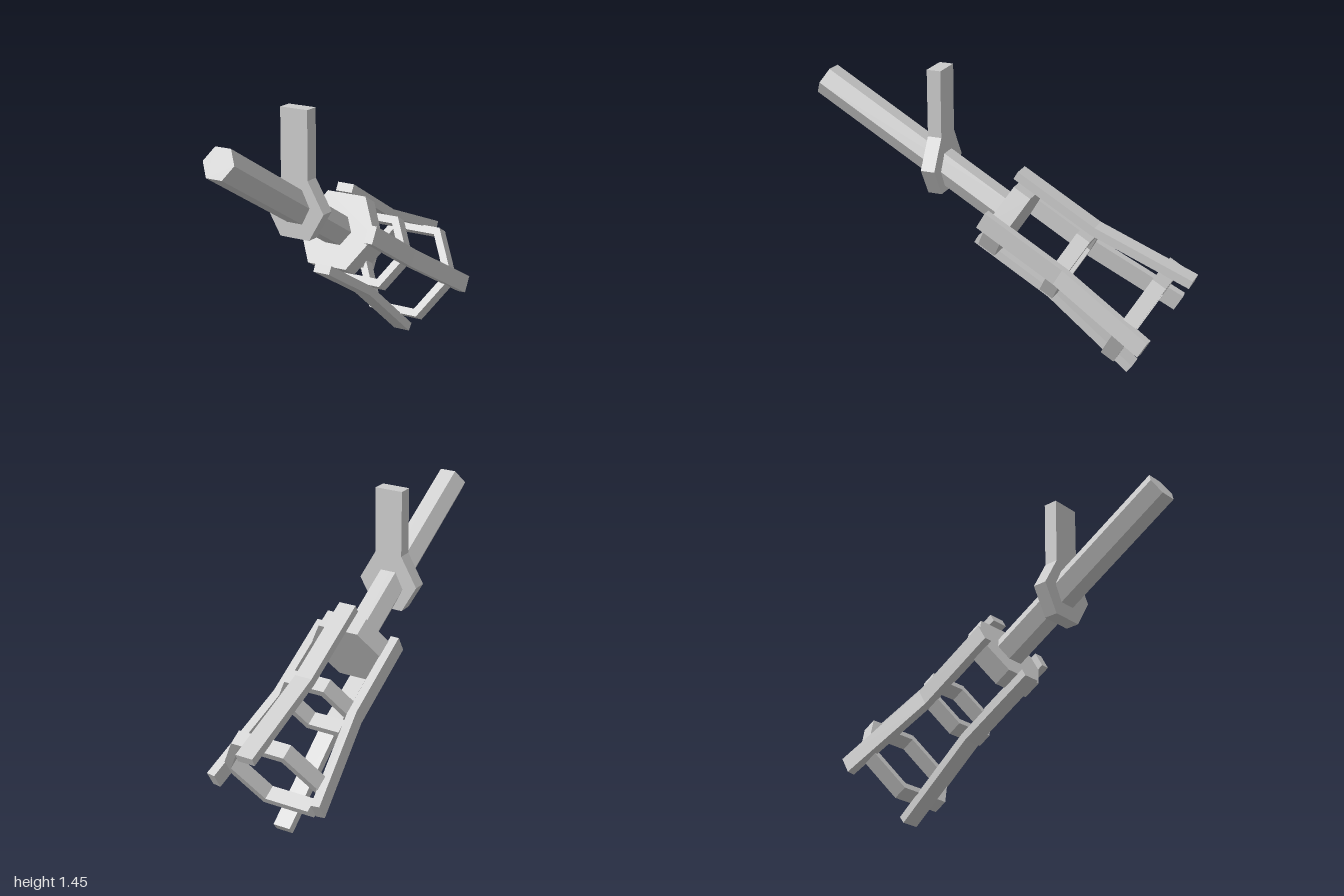
import * as THREE from 'three';

const material = new THREE.MeshStandardMaterial({ color: 0xcccccc, flatShading: true });

// Corners of a hexagon with flat top and bottom, given centre-to-side distance
function hexPoints(apothem) {
  const r = apothem / Math.cos(Math.PI / 6);
  return Array.from({ length: 6 }, (_, i) =>
    new THREE.Vector2(r * Math.cos(i * Math.PI / 3), r * Math.sin(i * Math.PI / 3)));
}

function part(name, shape, from, to) {
  const geometry = new THREE.ExtrudeGeometry(shape, { depth: to - from, bevelEnabled: false });
  geometry.translate(0, 0, from);
  const mesh = new THREE.Mesh(geometry, material);
  mesh.name = name;
  return mesh;
}

// Hexagonal prism along z, hollow when an inner size is given
function hexPrism(name, outer, from, to, inner = 0) {
  const shape = new THREE.Shape(hexPoints(outer));
  if (inner) shape.holes.push(new THREE.Path(hexPoints(inner)));
  return part(name, shape, from, to);
}

export function createModel() {
  const model = new THREE.Group();
  model.name = 'model';

  // Everything along the main axis leans 30 degrees
  const body = new THREE.Group();
  body.name = 'tiltedBody';
  body.position.y = 0.76;
  body.rotation.x = -Math.PI / 6;
  model.add(body);

  // Shaft, solid base plate and open rings
  body.add(
    hexPrism('shaft', 0.0735, -0.05, 1.114),
    hexPrism('basePlate', 0.19, -0.108, -0.008),
    hexPrism('middleRing', 0.19, -0.465, -0.388, 0.15),
    hexPrism('endRing', 0.25, -0.89, -0.813, 0.21),
  );

  // Four cage bars, straight and then flaring outward
  const barProfile = new THREE.Shape([
    [0.19, 0.024], [0.19, -0.44], [0.27, -0.977], [0.315, -0.972], [0.235, -0.44], [0.235, 0.024],
  ].map(([r, s]) => new THREE.Vector2(r, s)));
  ['leftBar', 'topBar', 'rightBar', 'bottomBar'].forEach((name, i) => {
    const bar = part(name, barProfile, -0.046, 0.046);
    bar.geometry.rotateX(Math.PI / 2).rotateZ(i * Math.PI / 2);
    body.add(bar);
  });

  // Upright bracket: hexagonal collar with a flat post
  const half = 0.075, top = 0.492;
  const corners = hexPoints(0.141);
  const slope = corners[0].x - half;
  const shoulder = slope * Math.sqrt(3);
  const bracket = part('uprightBracket', new THREE.Shape([
    corners[3], corners[4], corners[5], corners[0],
    new THREE.Vector2(half, shoulder), new THREE.Vector2(half, top),
    new THREE.Vector2(-half, top), new THREE.Vector2(-half, shoulder),
  ]), 0.298, 0.371);
  bracket.position.y = 0.955;
  model.add(bracket);

  return model;
}
